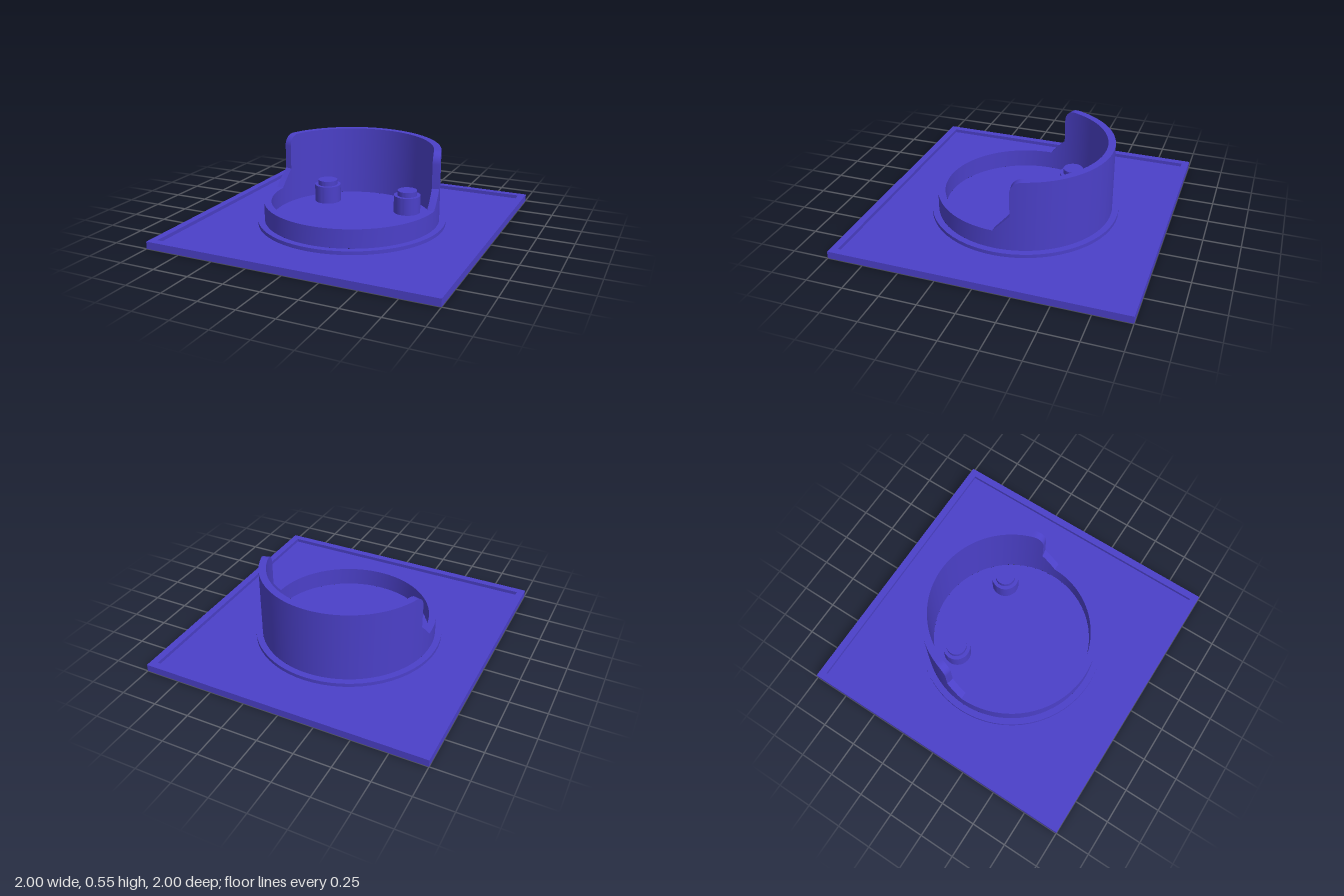
import * as THREE from 'three';
import { toCreasedNormals } from 'three/addons/utils/BufferGeometryUtils.js';

const material = new THREE.MeshStandardMaterial({ color: 0x4b40c8, side: THREE.DoubleSide });
const OUTER = 0.61, INNER = 0.56, FLANGE = 0.655;
const SHEET = 0.025, TOP = 0.05, LOW = 0.18, HIGH = 0.55;

function add(parent, name, geometry) {
  const mesh = new THREE.Mesh(toCreasedNormals(geometry, 0.6), material);
  mesh.name = name;
  parent.add(mesh);
  return mesh;
}

// Ribbon between two rows of points (lower row, upper row)
function strip(a, b) {
  const position = [], index = [];
  a.forEach((p, i) => {
    position.push(...p, ...b[i]);
    if (i > 0) {
      const k = 2 * i - 2;
      index.push(k, k + 2, k + 3, k, k + 3, k + 1);
    }
  });
  const g = new THREE.BufferGeometry();
  g.setAttribute('position', new THREE.Float32BufferAttribute(position, 3));
  g.setIndex(index);
  return g;
}

const square = (s, y) => [[-s, y, s], [s, y, s], [s, y, -s], [-s, y, -s], [-s, y, s]];

const lathe = (profile) =>
  new THREE.LatheGeometry(profile.map(([r, y]) => new THREE.Vector2(r, y)), 64);

// Wall stations [angle, height], from the front round one side to the back
function halfWall() {
  const list = [];
  const at = (z, y) => list.push([Math.acos(z / OUTER), y]);
  for (let i = 0; i <= 20; i++) list.push([(i / 20) * Math.PI / 2, LOW]);
  for (let i = 1; i <= 4; i++) at(-0.115 * i / 4, LOW + 0.12 * i / 4);
  for (let i = 0; i <= 8; i++) {
    const t = (i / 8) * Math.PI / 2;
    at(-0.195 + 0.08 * Math.cos(t), HIGH - 0.08 + 0.08 * Math.sin(t));
  }
  const start = list[list.length - 1][0];
  for (let i = 1; i <= 20; i++) list.push([start + (Math.PI - start) * i / 20, HIGH]);
  return list;
}

export function createModel() {
  const model = new THREE.Group();
  model.name = 'wallHolder';

  // Thin formed base plate: skirt, raised lip, step and recessed sheet
  const base = new THREE.Group();
  base.name = 'basePlate';
  model.add(base);
  add(base, 'outerSkirt', strip(square(1, 0), square(1, TOP)));
  add(base, 'raisedLip', strip(square(1, TOP), square(0.95, TOP)));
  add(base, 'lipStep', strip(square(0.95, TOP), square(0.95, SHEET)));
  const sheet = new THREE.Shape(square(0.95, 0).slice(0, 4).map(([x, , z]) => new THREE.Vector2(x, -z)));
  sheet.holes.push(new THREE.Path().absarc(0, 0, FLANGE, 0, Math.PI * 2, true));
  add(base, 'sheet', new THREE.ShapeGeometry(sheet, 32).rotateX(-Math.PI / 2).translate(0, SHEET, 0));

  // Raised ring around the cup and the cup floor
  add(model, 'flange', lathe([[FLANGE, SHEET], [FLANGE, TOP], [OUTER, TOP]]));
  add(model, 'cupFloor', new THREE.CircleGeometry(INNER, 64).rotateX(-Math.PI / 2).translate(0, TOP, 0));

  // Hollow cup wall: low in front, tall at the back
  const half = halfWall();
  const stations = [
    ...half,
    ...half.slice(0, -1).reverse().map(([a, y]) => [2 * Math.PI - a, y]),
  ];
  const row = (r, low) => stations.map(([a, y]) => [r * Math.sin(a), low ? TOP : y, r * Math.cos(a)]);
  const cup = new THREE.Group();
  cup.name = 'cupWall';
  cup.rotation.y = -0.025;
  model.add(cup);
  add(cup, 'outerWall', strip(row(OUTER, true), row(OUTER, false)));
  add(cup, 'wallRim', strip(row(OUTER, false), row(INNER, false)));
  add(cup, 'innerWall', strip(row(INNER, false), row(INNER, true)));

  // Two stepped pegs on the floor
  for (const side of [-1, 1]) {
    const peg = add(model, side > 0 ? 'leftPeg' : 'rightPeg',
      lathe([[0.095, TOP], [0.095, 0.175], [0.07, 0.175], [0.07, 0.21], [0, 0.21]]));
    peg.position.set(side * 0.315, 0, -0.255);
  }
  return model;
}
